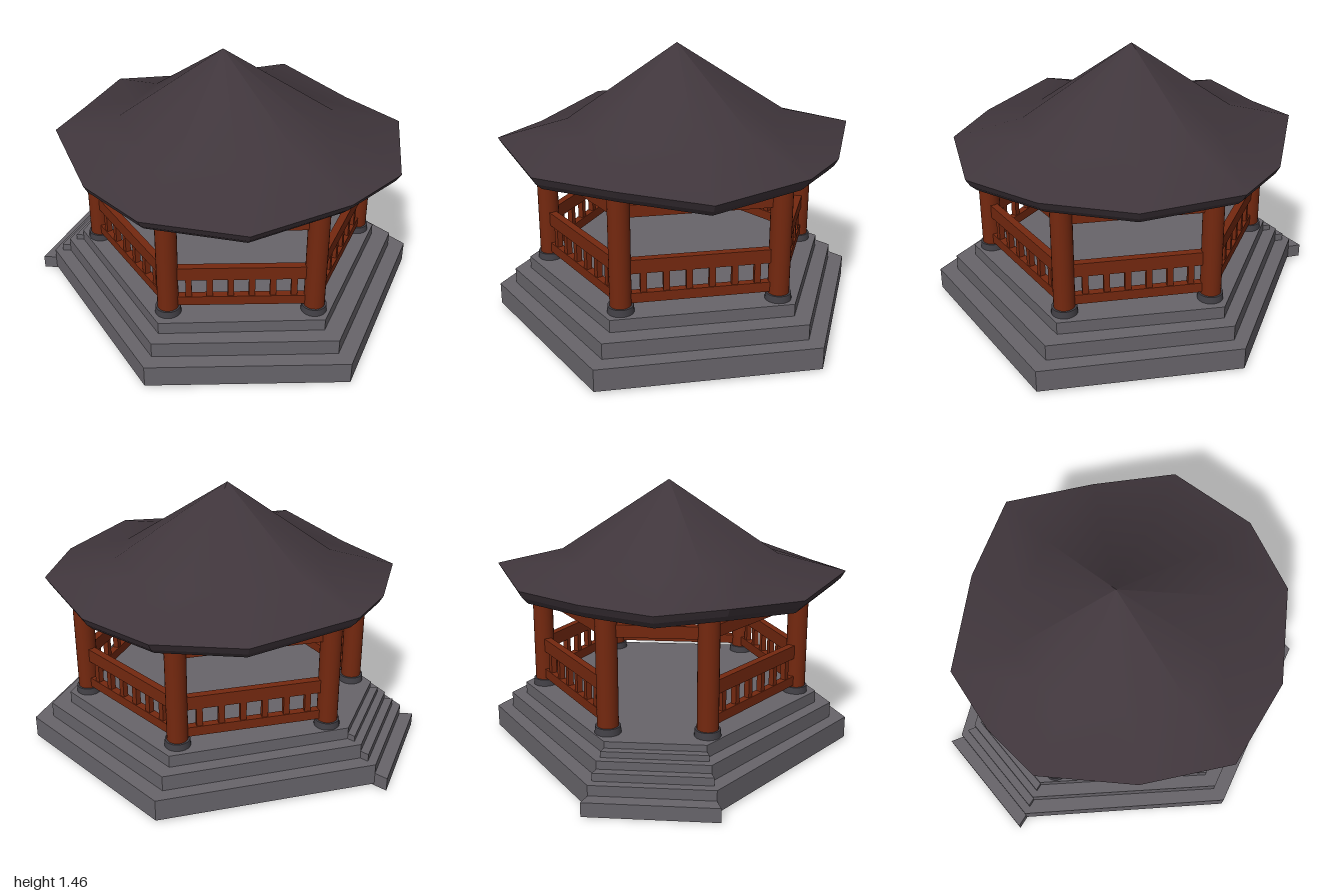
import * as THREE from 'three';

const mat = (name, color, side = THREE.FrontSide) => {
  const m = new THREE.MeshStandardMaterial({ color, side });
  m.name = name;
  return m;
};

// Skin a stack of closed rings (arrays of [x, y, z]); faces outward when rings run bottom to top
function loft(rings, smooth) {
  const n = rings[0].length, index = [];
  for (let r = 0; r < rings.length - 1; r++) {
    for (let i = 0; i < n; i++) {
      const j = (i + 1) % n;
      const a = r * n + i, b = r * n + j, c = a + n, d = b + n;
      index.push(b, a, c, b, c, d);
    }
  }
  let g = new THREE.BufferGeometry();
  g.setAttribute('position', new THREE.Float32BufferAttribute(rings.flat(2), 3));
  g.setIndex(index);
  if (!smooth) g = g.toNonIndexed();
  g.computeVertexNormals();
  return g;
}

// Hollow slab with walls and a top, open underneath
function slab(outline, y0, y1) {
  const cx = outline.reduce((s, p) => s + p[0], 0) / outline.length;
  return loft([
    outline.map(([x, z]) => [x, y0, z]),
    outline.map(([x, z]) => [x, y1, z]),
    outline.map(() => [cx, y1, 0]),
  ], false);
}

// Six-sided outline, narrow on the stair side
const hexagon = (xm, zm, xr, zr, xl, zl) =>
  [[xm, -zm], [xr, -zr], [xr, zr], [xm, zm], [xl, zl], [xl, -zl]];

export function createModel() {
  const stone = mat('stone', 0x67646a, THREE.DoubleSide);
  const darkStone = mat('dark stone', 0x434147);
  const wood = mat('red wood', 0x74280f);
  const tile = mat('roof tile', 0x40363c, THREE.DoubleSide);

  const model = new THREE.Group();
  const add = (name, geometry, material, parent = model) => {
    const m = new THREE.Mesh(geometry, material);
    m.name = name;
    parent.add(m);
    return m;
  };

  // Three platform tiers
  add('lowerTier', slab(hexagon(0.012, 0.998, 0.965, 0.565, -0.93, 0.31), 0.01, 0.13), stone);
  add('middleTier', slab(hexagon(0.012, 0.91, 0.88, 0.515, -0.84, 0.28), 0.13, 0.215), stone);
  add('upperTier', slab(hexagon(0.012, 0.825, 0.785, 0.465, -0.76, 0.253), 0.215, 0.282), stone);

  // Wedge-shaped steps on the narrow side
  [[-1, -0.69, 0, 0.075], [-0.885, -0.82, 0.13, 0.172], [-0.8, -0.74, 0.215, 0.247]]
    .forEach(([xo, xi, y0, y1]) => {
      const outline = [[xo, xo / 3], [xi, xi / 3], [xi, -xi / 3], [xo, -xo / 3]];
      add('step', slab(outline, y0, y1), stone);
    });

  // Pillars on round footings
  const posts = hexagon(0.015, 0.71, 0.7, 0.4, -0.64, 0.25);
  posts.forEach(([x, z]) => {
    add('pillarFooting', new THREE.CylinderGeometry(0.065, 0.068, 0.038, 24), darkStone)
      .position.set(x, 0.3, z);
    add('pillar', new THREE.CylinderGeometry(0.055, 0.055, 0.64, 24), wood)
      .position.set(x, 0.635, z);
  });

  // Beams between pillars, with a balustrade on every side but the stairs
  posts.forEach(([x, z], i) => {
    const [x2, z2] = posts[(i + 1) % 6];
    const length = Math.hypot(x2 - x, z2 - z);
    const bay = new THREE.Group();
    bay.name = 'bay';
    bay.position.set((x + x2) / 2, 0, (z + z2) / 2);
    bay.rotation.y = Math.atan2(z - z2, x2 - x);
    model.add(bay);
    const bar = (name, y0, y1) =>
      add(name, new THREE.BoxGeometry(length, y1 - y0, 0.04), wood, bay).position.y = (y0 + y1) / 2;
    bar('topBeam', 0.787, 0.85);
    if (i === 4) return;
    bar('handRail', 0.488, 0.562);
    bar('bottomRail', 0.33, 0.383);
    for (let k = 0; k < 6; k++) {
      add('baluster', new THREE.BoxGeometry(0.032, 0.12, 0.03), wood, bay)
        .position.set((k - 2.5) * length * 0.143, 0.435, 0);
    }
  });

  // Roof eave: corners over the pillars turn up, midpoints dip
  const eave = [
    [0.03, 0.98, -0.958], [0.49, 0.93, -0.755], [0.865, 0.98, -0.485], [1, 0.937, 0],
    [0.865, 0.98, 0.43], [0.49, 0.93, 0.795], [0, 0.982, 0.955], [-0.43, 0.928, 0.715],
    [-0.81, 0.985, 0.35], [-0.84, 0.95, 0], [-0.8, 0.985, -0.355], [-0.38, 0.93, -0.745],
  ];
  const ring = (s, dy) => eave.map(([x, y, z]) => [0.02 + (x - 0.02) * s, y + dy, z * s]);
  const mid = (dy) => ring(0.615, 0).map(([x, y, z]) => [x, 1.07 + (y - 0.98) * 0.45 + dy, z]);
  const apex = (y) => eave.map(() => [0.02, y, 0]);
  add('roofTop', loft([ring(1, 0), mid(0), apex(1.46)], true), tile);
  add('roofEdge', loft([ring(0.94, -0.072), ring(0.975, -0.04), ring(1, 0)], false), tile);
  add('roofUnderside', loft([apex(1.39), mid(-0.06), ring(0.94, -0.072)], true), tile);

  return model;
}
